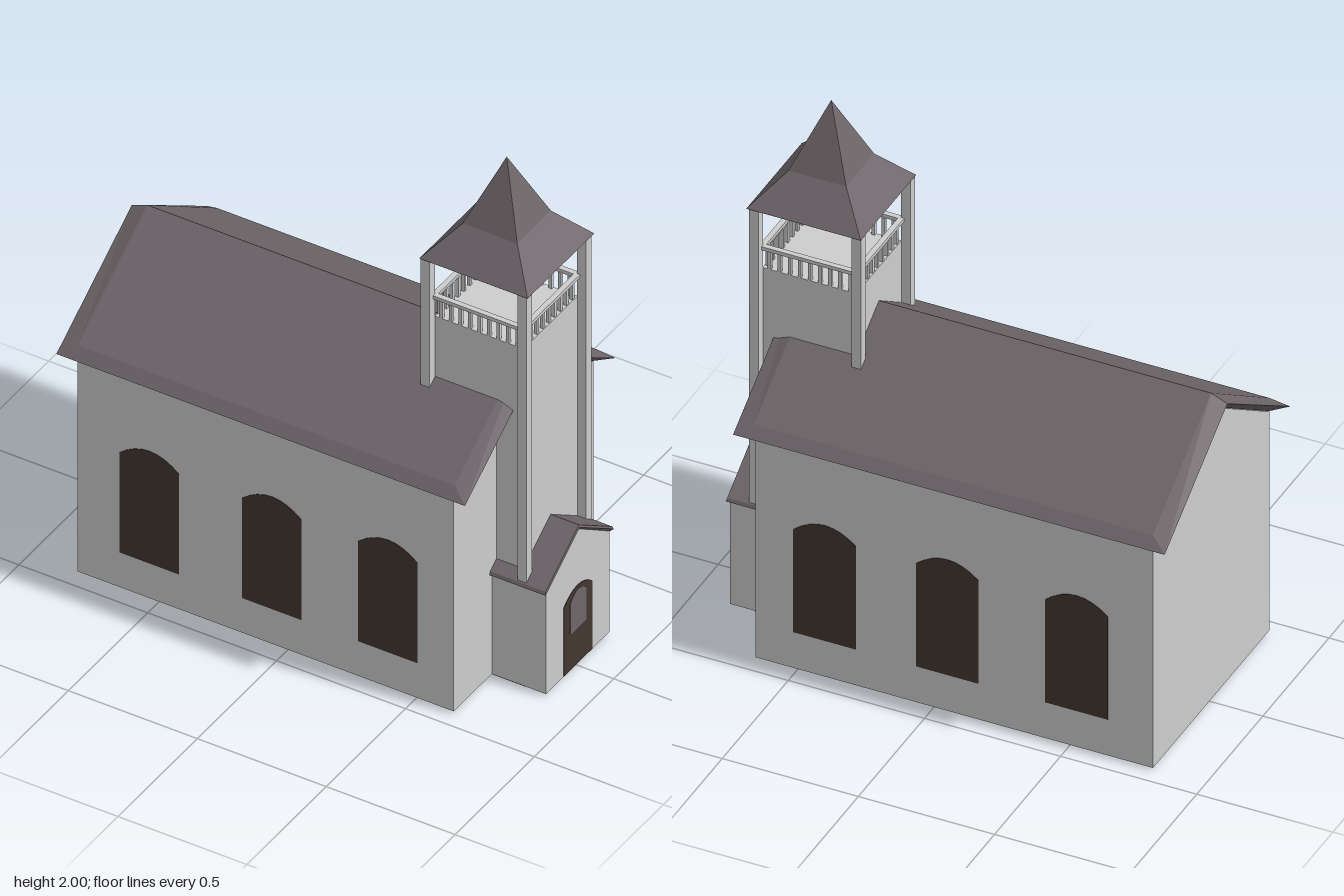
import * as THREE from 'three';

const wallMat = new THREE.MeshStandardMaterial({ name: 'pale plaster', color: 0xcdcdcd });
const roofMat = new THREE.MeshStandardMaterial({ name: 'slate roof', color: 0x6e666a });
const woodMat = new THREE.MeshStandardMaterial({ name: 'dark brown', color: 0x43362f });

function add(parent, name, geometry, material, x = 0, y = 0, z = 0) {
  const mesh = new THREE.Mesh(geometry, material);
  mesh.name = name;
  mesh.position.set(x, y, z);
  parent.add(mesh);
  return mesh;
}

// Box given by its two opposite corners
function block(parent, name, material, [x0, y0, z0], [x1, y1, z1]) {
  return add(parent, name, new THREE.BoxGeometry(x1 - x0, y1 - y0, z1 - z0), material,
    (x0 + x1) / 2, (y0 + y1) / 2, (z0 + z1) / 2);
}

// Solid lofted through gabled outlines, bottom to top: [x0, x1, halfDepth, eaveY, ridgeY]
function gabled(layers) {
  const loops = layers.map(([x0, x1, d, eave, ridge]) => [
    [x0, eave, d], [x1, eave, d], [x1, ridge, 0], [x1, eave, -d], [x0, eave, -d], [x0, ridge, 0],
  ]);
  const pos = [];
  const quad = (a, b, c, d) => pos.push(...a, ...b, ...c, ...a, ...c, ...d);
  for (let k = 0; k + 1 < loops.length; k++) {
    const low = loops[k], up = loops[k + 1];
    for (let i = 0; i < 6; i++) {
      const j = (i + 1) % 6;
      quad(low[i], low[j], up[j], up[i]);
    }
  }
  const t = loops[loops.length - 1], b = loops[0];
  quad(t[0], t[1], t[2], t[5]);
  quad(t[5], t[2], t[3], t[4]);
  quad(b[5], b[2], b[1], b[0]);
  quad(b[4], b[3], b[2], b[5]);
  const g = new THREE.BufferGeometry();
  g.setAttribute('position', new THREE.Float32BufferAttribute(pos, 3));
  g.computeVertexNormals();
  return g;
}

// Thin plate with a shallow arched top
function archPlate(half, bottom, spring, top) {
  const s = new THREE.Shape();
  s.moveTo(-half, bottom);
  s.lineTo(half, bottom);
  s.lineTo(half, spring);
  for (let i = 1; i <= 8; i++) {
    const u = 1 - i / 4;
    s.lineTo(u * half, spring + (top - spring) * (1 - Math.abs(u) ** 2));
  }
  return new THREE.ExtrudeGeometry(s, { depth: 0.004, bevelEnabled: false });
}

// Four-sided spire section
function squareSection(rBottom, rTop, height) {
  const g = new THREE.CylinderGeometry(rTop * Math.SQRT2, rBottom * Math.SQRT2, height, 4, 1, true);
  g.rotateY(Math.PI / 4);
  const flat = g.toNonIndexed();
  flat.computeVertexNormals();
  return flat;
}

function createModel() {
  const church = new THREE.Group();
  church.name = 'church';

  // Nave with bevelled gable roof
  add(church, 'naveWalls', gabled([
    [-0.81, 0.65, 0.44, 0.01, 0.01], [-0.81, 0.65, 0.44, 0.893, 1.188]]), wallMat);
  add(church, 'naveRoof', gabled([
    [-0.81, 0.65, 0.44, 0.895, 1.19],
    [-0.87, 0.715, 0.475, 0.91, 1.22],
    [-0.81, 0.655, 0.44, 0.948, 1.245]]), roofMat);

  // Three arched windows on each long wall
  const windowGeo = archPlate(0.115, 0.155, 0.57, 0.62);
  for (const x of [-0.53, -0.055, 0.395]) {
    add(church, 'frontWindow', windowGeo, woodMat, x, 0, 0.438);
    add(church, 'backWindow', windowGeo, woodMat, x, 0, -0.438).rotation.y = Math.PI;
  }

  // Entrance porch
  add(church, 'porchWalls', gabled([
    [0.6, 0.86, 0.2, 0.01, 0.01], [0.6, 0.86, 0.2, 0.432, 0.565]]), wallMat);
  add(church, 'porchRoof', gabled([
    [0.645, 0.86, 0.205, 0.424, 0.567],
    [0.645, 0.868, 0.215, 0.43, 0.575],
    [0.645, 0.865, 0.21, 0.442, 0.585]]), roofMat);
  add(church, 'door', archPlate(0.09, 0.012, 0.295, 0.335), woodMat, 0.858, 0, 0).rotation.y = Math.PI / 2;
  add(church, 'doorPane', archPlate(0.05, 0.16, 0.29, 0.32), roofMat, 0.8595, 0, 0).rotation.y = Math.PI / 2;

  // Bell tower
  const tower = new THREE.Group();
  tower.name = 'tower';
  church.add(tower);
  const cx = 0.582;
  block(tower, 'towerBase', wallMat, [0.395, 0, -0.19], [0.775, 0.2, 0.19]);
  block(tower, 'towerShaft', wallMat, [0.41, 0.1, -0.17], [0.755, 1.38, 0.17]);
  for (const sx of [-1, 1]) {
    for (const sz of [-1, 1]) {
      add(tower, 'cornerPost', new THREE.BoxGeometry(0.035, 1.19, 0.035), wallMat,
        cx + sx * 0.188, 1.035, sz * 0.188);
    }
  }

  // Railing on the four sides of the belfry
  for (let side = 0; side < 4; side++) {
    const rail = new THREE.Group();
    rail.name = 'railing';
    rail.position.set(cx, 0, 0);
    rail.rotation.y = side * Math.PI / 2;
    tower.add(rail);
    add(rail, 'handrail', new THREE.BoxGeometry(0.345, 0.014, 0.02), wallMat, 0, 1.465, 0.172);
    for (let i = 0; i < 9; i++) {
      add(rail, 'baluster', new THREE.BoxGeometry(0.012, 0.084, 0.012), wallMat,
        (i - 4) * 0.037, 1.418, 0.17 - 0.006);
    }
  }

  // Flared spire with a pale ceiling
  const sx = 0.585;
  add(tower, 'spireSkirt', squareSection(0.21, 0.106, 0.12), roofMat, sx, 1.69, 0);
  add(tower, 'spireTop', squareSection(0.106, 0, 0.25), roofMat, sx, 1.875, 0);
  add(tower, 'belfryCeiling', new THREE.BoxGeometry(0.416, 0.004, 0.416), wallMat, sx, 1.63, 0);

  return church;
}

export { createModel };
